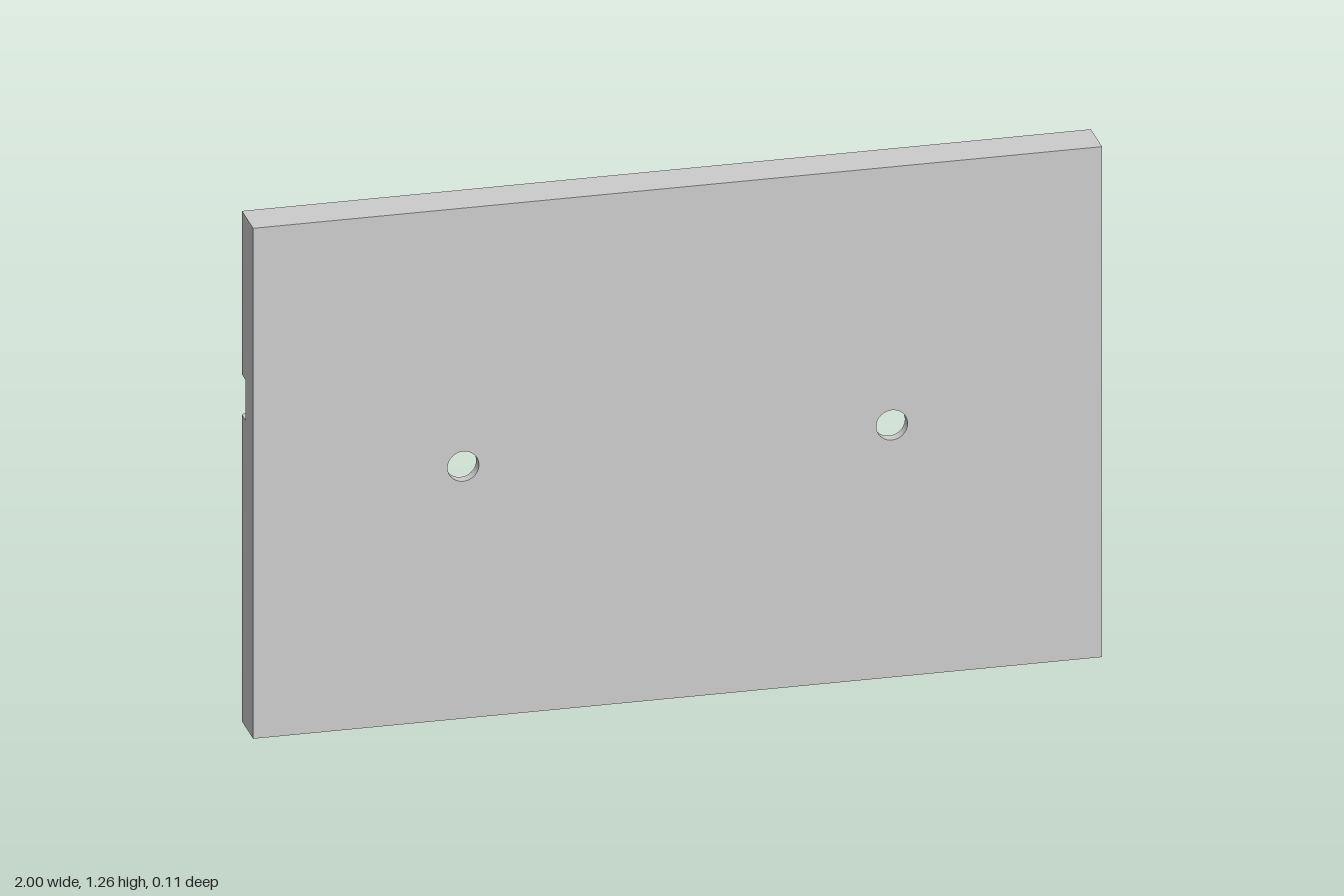
import * as THREE from 'three';

const H = 1.265, BACK = -0.0565, FRONT = 0.0565;
const FLOOR = 0.03, POCKET = 0.005, SHALLOW = -0.015, CHAMFER = 0.007;
const GROOVES = [-0.505, 0, 0.505], HALF = 0.113, GROOVE_TOP = 1.175, SLOPE = 0.028;
const material = new THREE.MeshStandardMaterial({ color: 0xcccccc, flatShading: true });

const mirror = (pts) => pts.map(([x, y]) => [-x, y]).reverse();
const toShape = (pts) => new THREE.Shape(pts.map(([x, y]) => new THREE.Vector2(x, y)));
const both = (pts) => [pts, mirror(pts)];
const rect = (x0, x1, y0, y1) => [[x0, y0], [x1, y0], [x1, y1], [x0, y1]];

// Vertical slot with rounded ends
function roundSlot(cx, y0, y1, r) {
  const pts = [];
  for (let i = 0; i <= 16; i++) {
    const a = Math.PI * (i < 9 ? i / 8 : (i - 1) / 8);
    pts.push([cx + r * Math.cos(a), (i < 9 ? y1 - r : y0 + r) + r * Math.sin(a)]);
  }
  return pts;
}

// Wide upper opening with a narrow rounded tail
function keyhole(top) {
  return [[0.292, top - 0.015], [0.307, top], [0.357, top], [0.357, top - 0.145], [0.339, top - 0.15],
    [0.339, top - 0.215], [0.33, top - 0.23], [0.312, top - 0.23], [0.302, top - 0.215],
    [0.302, top - 0.17], [0.292, top - 0.155]];
}

// Outline of the plate with the three grooves open at the bottom
function combOutline(right, left) {
  const pts = [...left];
  for (const c of GROOVES) {
    pts.push([c - HALF, 0], [c - HALF, GROOVE_TOP], [c + HALF, GROOVE_TOP], [c + HALF, 0]);
  }
  return [...pts, ...right];
}

// One slice of the plate; groove walls taper with depth, back rim is chamfered
function slice(name, shapes, z0, z1, chamfer = false) {
  const geo = new THREE.ExtrudeGeometry(shapes, { depth: z1 - z0, bevelEnabled: false, curveSegments: 20 });
  const p = geo.attributes.position;
  const near = (a, b) => Math.abs(a - b) < 1e-4;
  for (let i = 0; i < p.count; i++) {
    let x = p.getX(i), y = p.getY(i);
    const z = p.getZ(i) + z0;
    const t = SLOPE * (z - BACK) / (FLOOR - BACK);
    const rim = chamfer && near(z, BACK);
    const c = z0 < FLOOR - 1e-4 ? GROOVES.find((g) => near(Math.abs(x - g), HALF)) : undefined;
    if (rim && near(Math.abs(x), 1)) x -= Math.sign(x) * CHAMFER;
    if (c !== undefined) {
      x -= Math.sign(x - c) * t;
      if (near(y, GROOVE_TOP)) y -= t;
    }
    if (rim && near(y, 0)) y += CHAMFER;
    if (rim && near(y, H)) y -= CHAMFER;
    p.setXYZ(i, x, y, z);
  }
  geo.computeVertexNormals();
  const mesh = new THREE.Mesh(geo, material);
  mesh.name = name;
  return mesh;
}

export function createModel() {
  const group = new THREE.Group();
  group.name = 'panel';

  // Front face with two through holes
  const face = toShape(rect(-1, 1, 0, H));
  for (const x of [-0.505, 0.505]) {
    face.holes.push(new THREE.Path().absarc(x, 0.625, 0.037, 0, Math.PI * 2, true));
  }
  group.add(slice('frontPlate', face, FLOOR, FRONT));

  // Pockets cut into the back
  const springSlot = [[0.838, 0.895], [0.822, 0.895], [0.822, 0.99], [0.766, 1.058], [0.766, 1.076],
    [0.822, 1.125], [0.822, 1.205], [0.838, 1.205], [0.838, 1.115], [0.784, 1.067], [0.838, 1.0]];
  const pockets = [keyhole(1.13), keyhole(0.385), rect(0.168, 0.228, 1.065, 1.15),
    rect(0.168, 0.228, 0.96, 1.045), roundSlot(0.893, 0.89, 1.205, 0.02), springSlot].flatMap(both);
  const cut = (shape) => {
    shape.holes = pockets.map((pts) => new THREE.Path(toShape(pts).getPoints()));
    return shape;
  };

  // Middle slices, full width
  const ends = [[1, 0], [1, H], [-1, H], [-1, 0]];
  group.add(slice('grooveSlice', toShape(combOutline(ends, [])), POCKET, FLOOR));
  group.add(slice('pocketSlice', cut(toShape(combOutline(ends, []))), SHALLOW, POCKET));

  // Back slices, with side channels, edge notches and the spring bumps
  const side = [[0.662, 0], [0.662, 1.133], [0.777, 1.133], [0.777, 1.1], [0.748, 1.08], [0.748, 1.054],
    [0.777, 1.02], [0.777, 0.86], [1, 0.86], [1, H]];
  const backShapes = () => [cut(toShape(combOutline(side, mirror(side)))),
    ...both(rect(0.777, 1, 0, 0.76)).map(toShape)];
  group.add(slice('backSlice', backShapes(), BACK + CHAMFER, SHALLOW));
  group.add(slice('backSurface', backShapes(), BACK, BACK + CHAMFER, true));

  const box = (name, w, h, d, x, y, z) => {
    const mesh = new THREE.Mesh(new THREE.BoxGeometry(w, h, d), material);
    mesh.name = name;
    mesh.position.set(x, y, z);
    group.add(mesh);
  };
  // Ramps profile: depth across, height up
  const ramp = new THREE.ExtrudeGeometry(
    toShape([[0, 0], [0.05, 0], [0.05, 0.055]]), { depth: 0.06, bevelEnabled: false });
  ramp.rotateY(-Math.PI / 2);

  for (const s of [-1, 1]) {
    // Frame around each screw hole
    for (const y of [0.555, 0.69]) box('holeFrameBar', 0.17, 0.024, 0.025, s * 0.505, y, FLOOR - 0.0115);
    for (const dx of [-0.068, 0.068]) box('holeFrameRail', 0.025, 0.12, 0.015, s * 0.505 + dx, 0.622, FLOOR - 0.0065);
    // Sloped floors of the small windows
    for (const y of [0.96, 1.065]) {
      const mesh = new THREE.Mesh(ramp, material);
      mesh.name = 'windowRamp';
      mesh.position.set(s * 0.198 + 0.03, y, POCKET - 0.05);
      group.add(mesh);
    }
  }
  return group;
}
